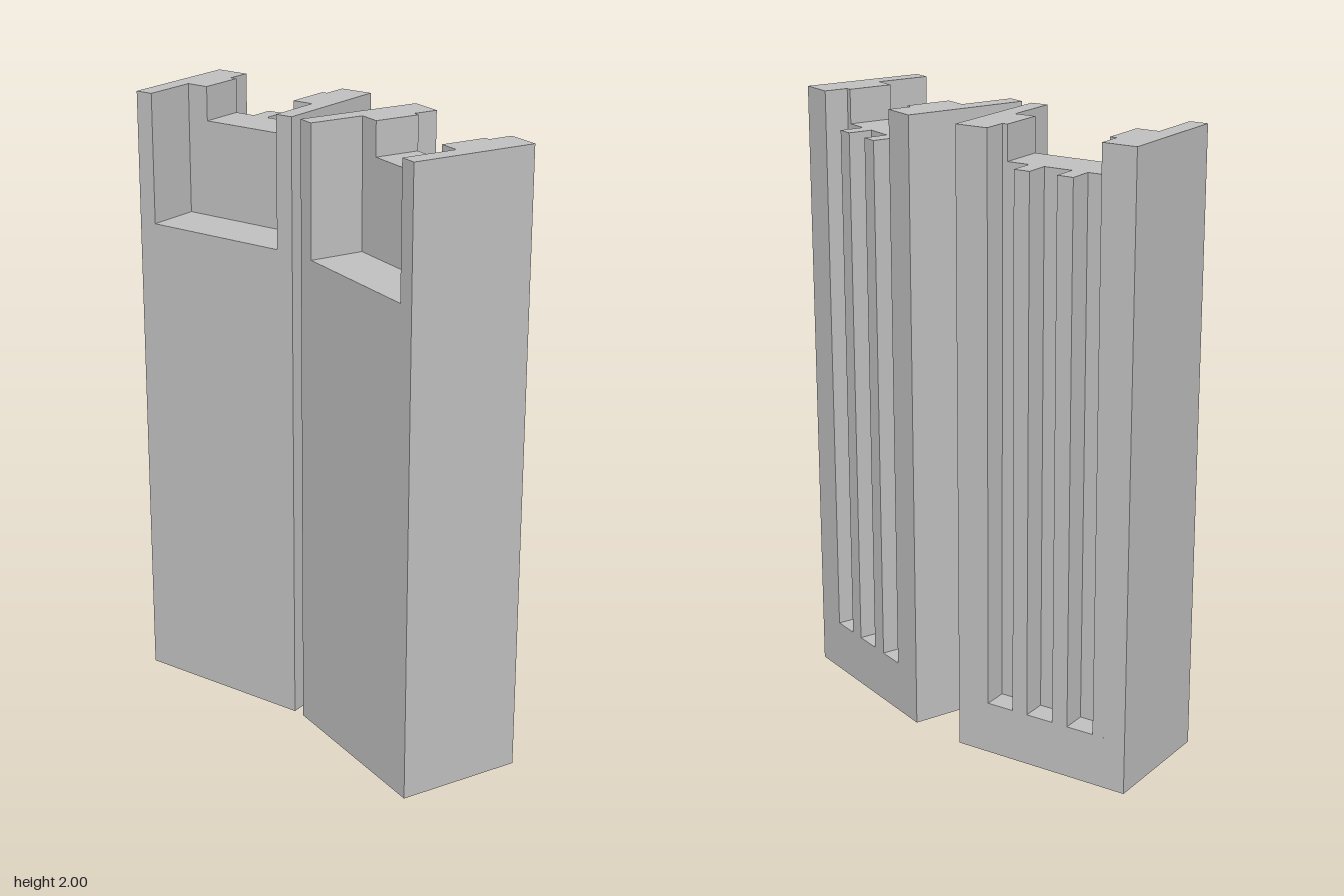
import * as THREE from 'three';
import { mergeGeometries } from 'three/addons/utils/BufferGeometryUtils.js';

// Block plan: u runs along the front, v from front to back
const W = 0.608, D = 0.41, H = 2;
const U0 = 0.06, U1 = 0.55, V1 = 0.18;      // front pocket
const M0 = 0.135, M1 = 0.479, V2 = 0.33;    // notch through the top, slot depth
const SLOT_Y = 0.17, POCKET_Y = 1.58, NOTCH_Y = 1.89;
const SLOTS = [[0.113, 0.205], [0.259, 0.352], [0.405, 0.497]];

const toShape = pts => new THREE.Shape(pts.map(p => new THREE.Vector2(...p)));
const rect = (a, b, c, d) => [[a, c], [b, c], [b, d], [a, d]];

// Upright walls of a plan between two heights, without caps
function walls(pts, y0, y1) {
  const g = new THREE.ExtrudeGeometry(toShape(pts), { depth: y1 - y0, bevelEnabled: false });
  const side = g.groups[1];
  const out = new THREE.BufferGeometry();
  for (const name of ['position', 'normal', 'uv']) {
    const a = g.attributes[name], n = a.itemSize;
    out.setAttribute(name, new THREE.BufferAttribute(
      a.array.slice(side.start * n, (side.start + side.count) * n), n));
  }
  return out.rotateX(-Math.PI / 2).translate(0, y0, 0);
}

// Upward facing surface at one height
const floor = (pts, y) =>
  new THREE.ShapeGeometry(toShape(pts)).toNonIndexed().rotateX(-Math.PI / 2).translate(0, y, 0);

function blockGeometry() {
  // Back edge with its three slots, from right to left
  const back = [[W, D]];
  for (const [a, b] of [...SLOTS].reverse()) back.push([b, D], [b, V2], [a, V2], [a, D]);
  back.push([0, D]);

  const full = rect(0, W, 0, D);
  const slotted = [[0, 0], [W, 0], ...back];
  const pocketed = [[0, 0], [U0, 0], [U0, V1], [U1, V1], [U1, 0], [W, 0], ...back];

  // Two posts left standing beside the top notch
  const s0 = SLOTS[0][0], s1 = SLOTS[2][1];
  const leftPost = [[0, 0], [U0, 0], [U0, V1], [M0, V1], [M0, V2], [s0, V2], [s0, D], [0, D]];
  const rightPost = [[U1, 0], [W, 0], [W, D], [s1, D], [s1, V2], [M1, V2], [M1, V1], [U1, V1]];

  // Notch floor with two tongues between the slots
  const notch = [[M0, V1], [M1, V1], [M1, V2]];
  for (const i of [1, 0]) {
    const a = SLOTS[i][1], b = SLOTS[i + 1][0];
    notch.push([b, V2], [b, D], [a, D], [a, V2]);
  }
  notch.push([M0, V2]);

  const underside = new THREE.ShapeGeometry(toShape(full)).toNonIndexed()
    .rotateX(Math.PI / 2).translate(0, 0, -D);

  return mergeGeometries([
    underside,
    walls(full, 0, SLOT_Y),
    walls(slotted, SLOT_Y, POCKET_Y),
    walls(pocketed, POCKET_Y, NOTCH_Y),
    walls(leftPost, NOTCH_Y, H),
    walls(rightPost, NOTCH_Y, H),
    ...SLOTS.map(([a, b]) => floor(rect(a, b, V2, D), SLOT_Y)),
    floor(rect(U0, U1, 0, V1), POCKET_Y),
    floor(notch, NOTCH_Y),
    floor(leftPost, H),
    floor(rightPost, H),
  ]);
}

export function createModel() {
  const model = new THREE.Group();
  model.name = 'twinBlocks';
  const grey = new THREE.MeshStandardMaterial({ color: 0xc0c0c0 });
  grey.name = 'light grey';
  const geometry = blockGeometry();

  // Two identical blocks, placed by their front corner and turned
  for (const [name, x, z, angle] of [
    ['rearBlock', -0.6, -0.279, -35],
    ['frontBlock', -0.074, 0.097, -57.4],
  ]) {
    const block = new THREE.Mesh(geometry, grey);
    block.name = name;
    block.position.set(x, 0, z);
    block.rotation.y = THREE.MathUtils.degToRad(angle);
    model.add(block);
  }
  return model;
}
